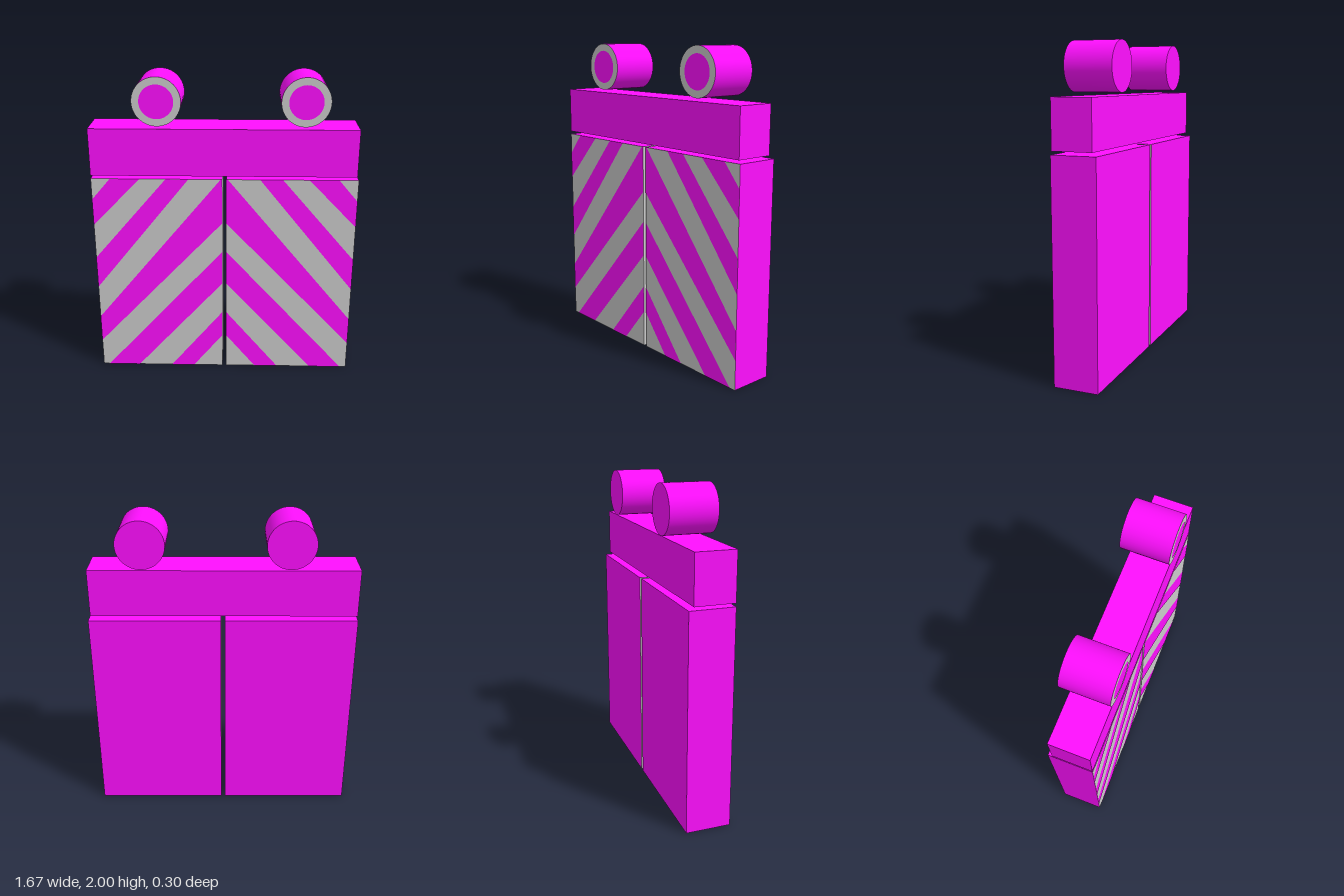
import * as THREE from 'three';

const grey = new THREE.MeshStandardMaterial({ color: 0xcccccc });
const magenta = new THREE.MeshStandardMaterial({ color: 0xff0fff });

// Stripe outlines on one panel: [distance from the inner edge, height]
const STRIPES = [
  [[0.825, 1.22], [0.705, 1.36], [0.52, 1.36], [0.825, 1.045]],
  [[0.825, 0.815], [0.355, 1.36], [0.212, 1.36], [0.825, 0.6]],
  [[0.825, 0.375], [0.01, 1.36], [0, 1.36], [0, 1.065], [0.825, 0.19]],
  [[0.785, 0], [0, 0.865], [0, 0.635], [0.575, 0]],
  [[0.35, 0], [0, 0.42], [0, 0.24], [0.197, 0]],
];

function add(parent, name, geometry, material, x, y, z) {
  const mesh = new THREE.Mesh(geometry, material);
  mesh.name = name;
  mesh.position.set(x, y, z);
  parent.add(mesh);
  return mesh;
}

// Panel growing outward from its inner edge; front and inner faces are grey
function panel(side, innerX) {
  const group = new THREE.Group();
  group.name = side > 0 ? 'leftPanel' : 'rightPanel';
  group.position.x = innerX;
  const faces = [magenta, magenta, magenta, magenta, grey, magenta];
  faces[side > 0 ? 1 : 0] = grey;
  add(group, 'panelBody', new THREE.BoxGeometry(0.825, 1.36, 0.28), faces, side * 0.4125, 0.68, 0);
  const shapes = STRIPES.map((pts) =>
    new THREE.Shape(pts.map(([u, y]) => new THREE.Vector2(side * u, y))));
  add(group, 'chevronStripes', new THREE.ShapeGeometry(shapes), magenta, 0, 0, 0.1415);
  return group;
}

// Round lamp facing forward: grey rim with a coloured lens
function lamp(name, x) {
  const group = new THREE.Group();
  group.name = name;
  group.position.set(x, 1.85, 0);
  const body = new THREE.CylinderGeometry(0.15, 0.15, 0.3, 64).rotateX(Math.PI / 2);
  add(group, 'lampBody', body, [magenta, grey, magenta], 0, 0, 0);
  add(group, 'lampLens', new THREE.CircleGeometry(0.105, 64), magenta, 0, 0, 0.1515);
  return group;
}

export function createModel() {
  const model = new THREE.Group();
  model.name = 'chevronBoard';
  model.add(panel(-1, -0.015), panel(1, 0.01));
  // Beam above the panels, flush with their front
  add(model, 'topBeam', new THREE.BoxGeometry(1.665, 0.3, 0.25), magenta, -0.0075, 1.53, 0.014);
  model.add(lamp('rightLamp', -0.412), lamp('leftLamp', 0.49));
  return model;
}
